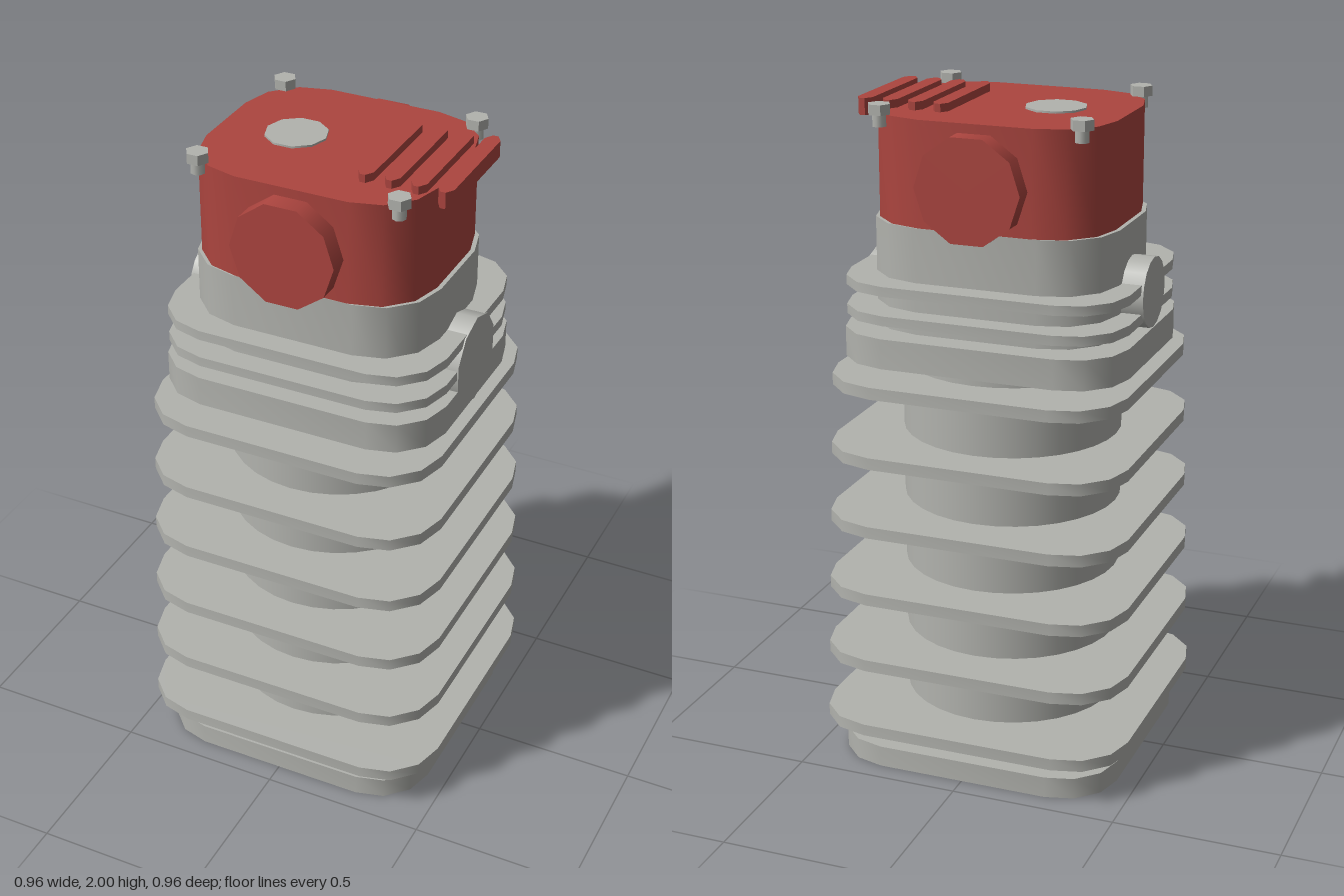
import * as THREE from 'three';
import { toCreasedNormals } from 'three/addons/utils/BufferGeometryUtils.js';

const grey = new THREE.MeshStandardMaterial({ name: 'cast metal grey', color: 0xb2b3ae });
const red = new THREE.MeshStandardMaterial({ name: 'cover red', color: 0xac453f });

export function createModel() {
  const group = new THREE.Group();

  function add(name, geometry, material, x = 0, y = 0, z = 0) {
    const mesh = new THREE.Mesh(geometry, material);
    mesh.name = name;
    mesh.position.set(x, y, z);
    group.add(mesh);
    return mesh;
  }

  // Flat outline in x and z, raised from y0 to y1
  function prism(points, y0, y1) {
    const geometry = new THREE.ExtrudeGeometry(new THREE.Shape(points), { depth: y1 - y0, bevelEnabled: false });
    geometry.rotateX(-Math.PI / 2).translate(0, y0, 0);
    return toCreasedNormals(geometry, 0.6);
  }

  // Rounded rectangle plate with three facets to each corner
  function plate(name, halfX, halfZ, radius, y0, y1, material) {
    const points = [];
    for (let corner = 0; corner < 4; corner++) {
      const sx = corner === 0 || corner === 3 ? 1 : -1;
      const sz = corner < 2 ? 1 : -1;
      for (let i = 0; i <= 3; i++) {
        const a = (corner + i / 3) * Math.PI / 2;
        points.push(new THREE.Vector2(
          sx * (halfX - radius) + radius * Math.cos(a),
          sz * (halfZ - radius) + radius * Math.sin(a)));
      }
    }
    add(name, prism(points, y0, y1), material);
  }

  // Short cylinder with a vertex on the x axis
  const disc = (radius, length, sides) =>
    new THREE.CylinderGeometry(radius, radius, length, sides, 1, false, Math.PI / 2);

  // Barrel, foot and tapering cooling fins
  add('barrel', new THREE.CylinderGeometry(0.328, 0.328, 1.22, 32), grey, 0, 0.63, 0);
  plate('foot', 0.435, 0.435, 0.17, 0, 0.065, grey);
  for (let i = 0; i < 6; i++) {
    const half = 0.479 - i * 0.006;
    const y = 0.137 + i * 0.213;
    plate('barrelFin', half, half, 0.18, y - 0.018, y + 0.018, grey);
  }

  // Head with its base and two fins
  plate('headBase', 0.432, 0.379, 0.17, 1.255, 1.345, grey);
  plate('headBody', 0.368, 0.303, 0.185, 1.345, 1.66, grey);
  plate('headFin', 0.428, 0.374, 0.17, 1.383, 1.412, grey);
  plate('headFin', 0.428, 0.374, 0.17, 1.47, 1.499, grey);

  // Side ports
  add('leftPort', disc(0.135, 0.14, 10).rotateZ(Math.PI / 2), grey, 0.362, 1.385, 0);
  add('rightPort', disc(0.105, 0.14, 16).rotateZ(Math.PI / 2), grey, -0.365, 1.455, 0);

  // Cover with a round boss on front and back
  plate('cover', 0.355, 0.302, 0.185, 1.66, 1.97, red);
  for (const s of [1, -1]) {
    add('coverBoss', disc(0.158, 0.1, 10).rotateX(Math.PI / 2), red, 0, 1.792, s * 0.312);
  }

  // Cap on the cover
  add('topCap', disc(0.091, 0.008, 10), grey, -0.132, 1.972, 0);

  // Ribs with pointed ends, the last one standing clear of the cover
  const w = 0.023, rib = [[w, -0.16], [w, 0.16], [0.008, 0.184], [-0.008, 0.184],
    [-w, 0.16], [-w, -0.16], [-0.008, -0.184], [0.008, -0.184]]
    .map(([x, z]) => new THREE.Vector2(x, z));
  for (let i = 0; i < 4; i++) {
    add('coverRib', prism(rib, 1.945, 1.994), red, 0.157 + i * 0.078, 0, 0);
  }

  // Corner bolts
  const head = toCreasedNormals(disc(0.034, 0.03, 6), 0.6);
  const shank = disc(0.021, 0.04, 8);
  for (const x of [-0.302, 0.302]) {
    for (const z of [-0.263, 0.263]) {
      add('boltHead', head, grey, x, 1.985, z);
      add('boltShank', shank, grey, x, 1.955, z);
    }
  }

  return group;
}
